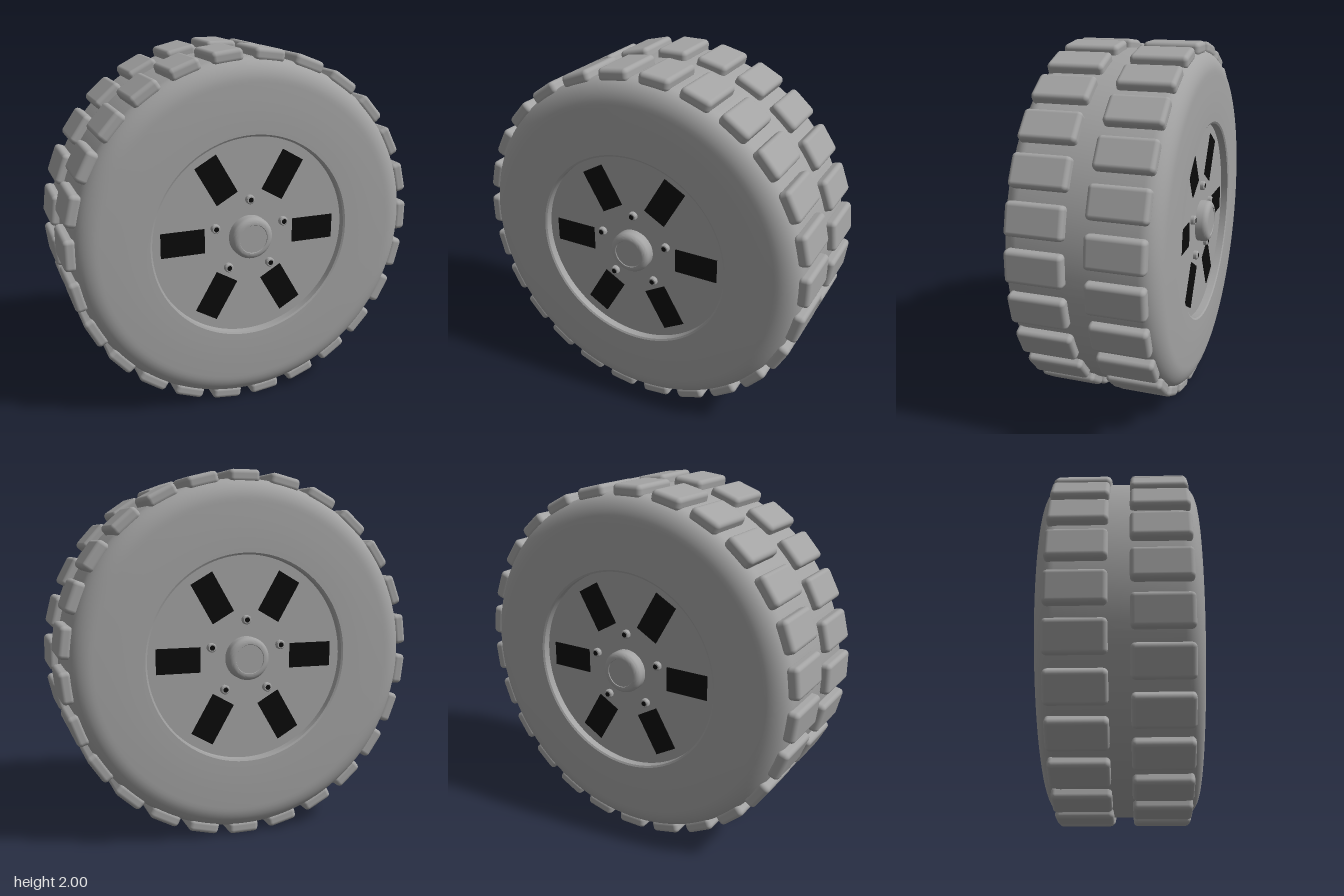
import * as THREE from 'three';
import { toCreasedNormals } from 'three/addons/utils/BufferGeometryUtils.js';
import { RoundedBoxGeometry } from 'three/addons/geometries/RoundedBoxGeometry.js';

const TREADS = 26, TYRE_R = 0.955, DISC_Z = 0.37;

const grey = new THREE.MeshStandardMaterial({ color: 0xa3a3a3 });
grey.name = 'wheel grey';
const black = new THREE.MeshStandardMaterial({ color: 0x0a0a0a });
black.name = 'opening black';

// Revolve [radius, z] points (z increasing) about the axle
function revolve(points, segments) {
  const geo = new THREE.LatheGeometry(points.map(([r, z]) => new THREE.Vector2(r, z)), segments);
  geo.rotateX(Math.PI / 2);
  return toCreasedNormals(geo, 0.5);
}

function addMesh(parent, name, geo, material) {
  const mesh = new THREE.Mesh(geo, material);
  mesh.name = name;
  parent.add(mesh);
  return mesh;
}

// Tyre and recessed rim disc as one closed profile
function tyreGeometry() {
  const half = [[0, DISC_Z], [0.555, DISC_Z], [0.555, 0.41], [0.565, 0.416], [0.63, 0.417], [0.73, 0.415]];
  for (let i = 0; i <= 10; i++) {
    const a = (i / 10) * Math.PI / 2;
    half.push([TYRE_R - 0.125 + 0.125 * Math.sin(a), 0.31 + 0.1 * Math.cos(a)]);
  }
  const back = half.map(([r, z]) => [r, -z]);
  return revolve([...back, ...half.reverse()], 128);
}

// Hub cap, bolts and openings on one side of the wheel
function rimFace(name) {
  const face = new THREE.Group();
  face.name = name;

  const cap = [[0.117, DISC_Z - 0.01], [0.117, 0.408]];
  for (let i = 1; i <= 6; i++) {
    const a = (i / 6) * Math.PI / 2;
    cap.push([0.085 + 0.032 * Math.cos(a), 0.408 + 0.03 * Math.sin(a)]);
  }
  cap.push([0.08, 0.438], [0.078, 0.434], [0, 0.434]);
  addMesh(face, 'hubCap', revolve(cap, 48), grey);

  // Six rectangular openings
  const openingGeo = new THREE.BoxGeometry(0.243, 0.136, 0.008);
  for (let i = 0; i < 6; i++) {
    const a = (i / 6) * Math.PI * 2;
    const opening = addMesh(face, 'rimOpening', openingGeo, black);
    opening.position.set(0.378 * Math.cos(a), 0.378 * Math.sin(a), DISC_Z + 0.001);
    opening.rotation.z = a;
  }

  // Five bolts with dark sockets
  const boltGeo = revolve([[0.025, 0], [0.025, 0.018], [0.02, 0.024], [0, 0.024]], 20);
  const socketGeo = new THREE.CircleGeometry(0.014, 16);
  for (let i = 0; i < 5; i++) {
    const a = Math.PI / 2 + (i / 5) * Math.PI * 2;
    const bolt = new THREE.Group();
    bolt.name = 'bolt';
    bolt.position.set(0.207 * Math.cos(a), 0.207 * Math.sin(a), DISC_Z);
    addMesh(bolt, 'boltHead', boltGeo, grey);
    addMesh(bolt, 'boltSocket', socketGeo, black).position.z = 0.0255;
    face.add(bolt);
  }
  return face;
}

// One ring of tread blocks
function treadRow(name, z, phase) {
  const row = new THREE.Group();
  row.name = name;
  const blockGeo = new RoundedBoxGeometry(0.07, 0.172, 0.308, 3, 0.024);
  for (let i = 0; i < TREADS; i++) {
    const a = ((i + phase) / TREADS) * Math.PI * 2;
    const block = addMesh(row, 'treadBlock', blockGeo, grey);
    block.position.set(0.965 * Math.cos(a), 0.965 * Math.sin(a), z);
    block.rotation.z = a;
  }
  return row;
}

export function createModel() {
  const model = new THREE.Group();
  model.name = 'wheel';
  const wheel = new THREE.Group();
  wheel.name = 'wheelAssembly';
  wheel.position.y = 1;
  model.add(wheel);

  addMesh(wheel, 'tyre', tyreGeometry(), grey);
  wheel.add(treadRow('frontTread', 0.206, 0), treadRow('backTread', -0.206, 0.5));

  const back = rimFace('backRim');
  back.rotation.y = Math.PI;
  wheel.add(rimFace('frontRim'), back);
  return model;
}
